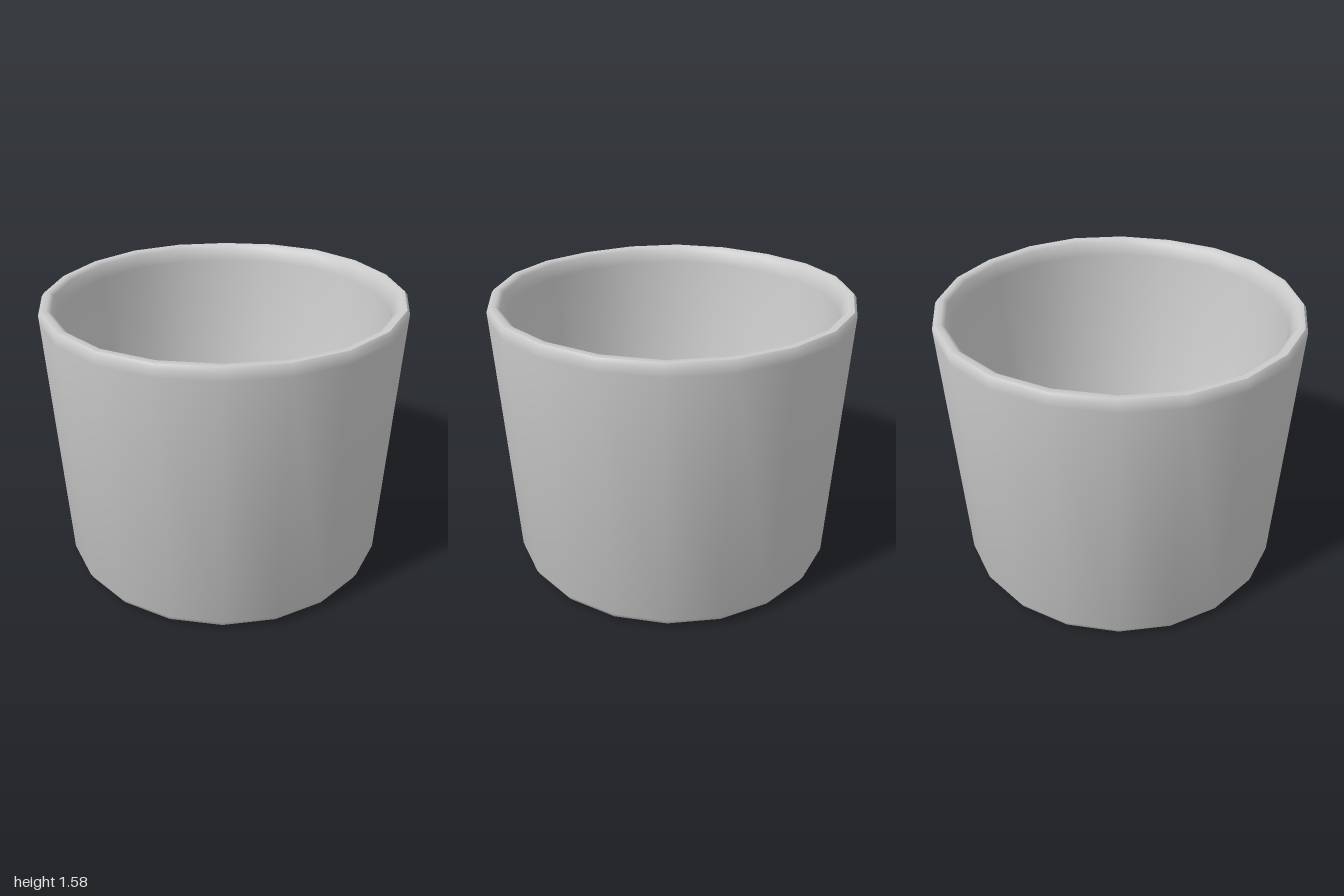
import * as THREE from 'three';
import { toCreasedNormals } from 'three/addons/utils/BufferGeometryUtils.js';

const SIDES = 20;

// Slight hand-made unevenness: a gentle tilt plus a faint ripple of the rim
function makeUneven(geometry) {
  const p = geometry.attributes.position;
  for (let i = 0; i < p.count; i++) {
    const x = p.getX(i), y = p.getY(i), z = p.getZ(i);
    const angle = Math.atan2(x, z);
    const ripple = y > 1 ? 0.003 * Math.sin(5 * angle) : 0;
    p.setY(i, Math.max(0, y + 0.005 * (x + z) + ripple));
  }
  return geometry;
}

export function createModel() {
  const group = new THREE.Group();
  group.name = 'openCup';

  // Closed section: underside, outer wall, rounded rim, inner wall, inner floor
  const profile = [
    [0, 0.007], [0.895, 0.007], [0.925, 0.025], [0.943, 0.06],
    [0.998, 1.5], [1.0, 1.545], [0.985, 1.565], [0.955, 1.567], [0.932, 1.55],
    [0.915, 1.47], [0.865, 0.14], [0.835, 0.08], [0, 0.075],
  ].map(([r, y]) => new THREE.Vector2(r, y));

  const geometry = makeUneven(new THREE.LatheGeometry(profile, SIDES));
  const cup = new THREE.Mesh(
    toCreasedNormals(geometry, 0.8),
    new THREE.MeshStandardMaterial({ color: 0xcccccc }),
  );
  cup.name = 'cupBody';
  group.add(cup);
  return group;
}
